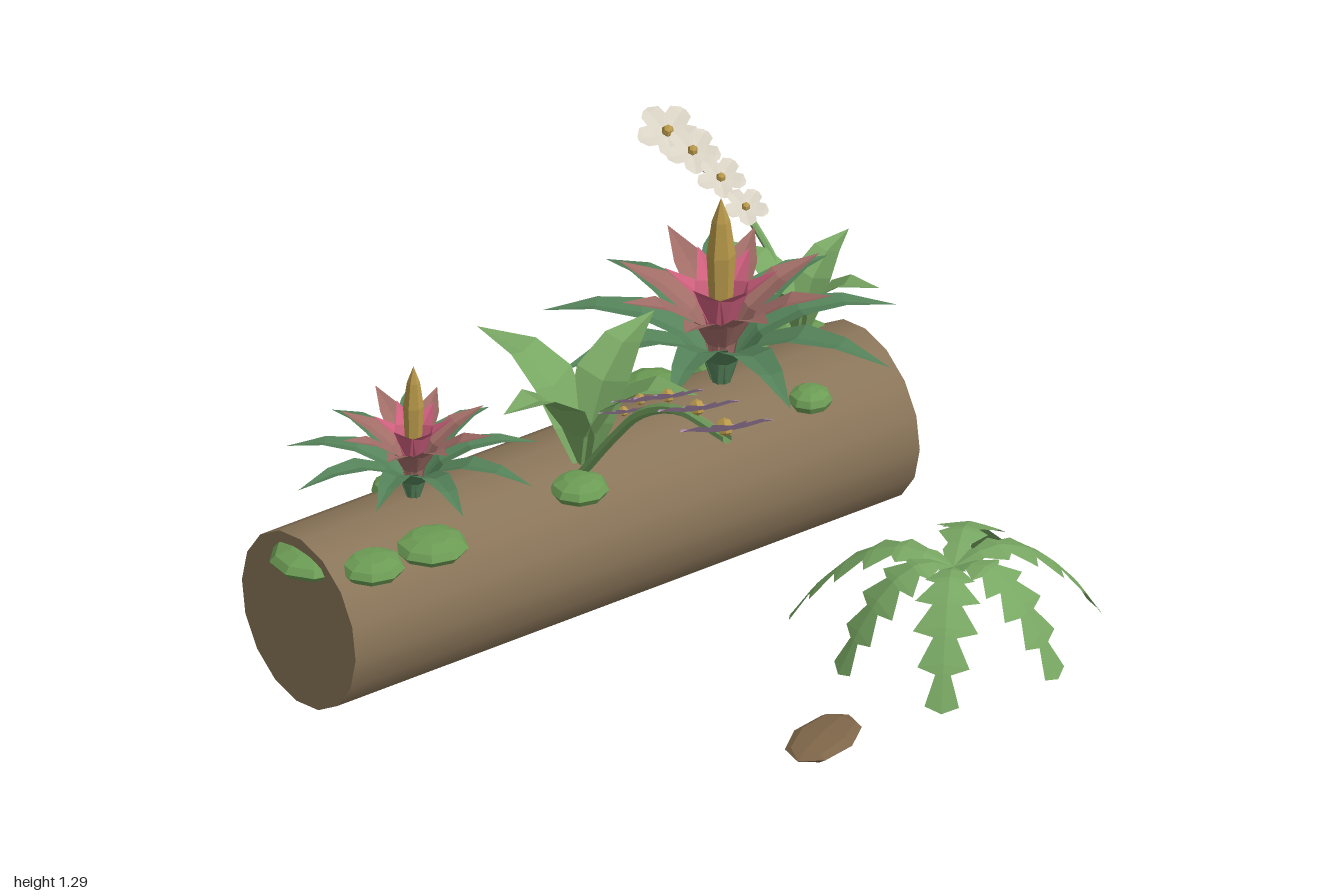
import * as THREE from 'three';
import { mergeGeometries } from 'three/addons/utils/BufferGeometryUtils.js';

const flat = (name, color) => new THREE.MeshStandardMaterial({ name, color, flatShading: true, side: THREE.DoubleSide });

// Folded leaf: centre line of [out, up] points, half width at each point, edges lifted by fold
function blade(path, widths, fold) {
  const pos = [], idx = [];
  path.forEach(([r, y], i) => {
    const w = widths[i];
    pos.push(r, y + fold * w, w, r, y, 0, r, y + fold * w, -w);
    if (i === 0) return;
    const b = i * 3, a = b - 3;
    for (const k of [0, 1]) idx.push(a + k, b + k, a + k + 1, b + k, b + k + 1, a + k + 1);
  });
  const g = new THREE.BufferGeometry();
  g.setAttribute('position', new THREE.Float32BufferAttribute(pos, 3));
  g.setIndex(idx);
  const out = g.toNonIndexed();
  out.computeVertexNormals();
  return out;
}

// Ring of blades; each entry is [angle in degrees, outward stretch]
const ring = (geo, list) => mergeGeometries(list.map(([deg, s]) =>
  geo.clone().scale(s, 1, 1).rotateY(THREE.MathUtils.degToRad(deg))));
const evenly = (n, start, vary) => Array.from({ length: n }, (_, i) =>
  [start + i * 360 / n, 1 + vary * Math.sin(i * 2.3 + 1)]);

export function createModel() {
  const root = new THREE.Group();
  const mat = {
    log: new THREE.MeshStandardMaterial({ name: 'log brown', color: 0x8a7559 }),
    bark: flat('bark brown', 0x7d6548),
    leaf: flat('leaf green', 0x78a763),
    dark: flat('deep green', 0x55835a),
    moss: flat('moss green', 0x6c9c55),
    rose: flat('dusty rose', 0xa06c66),
    pink: flat('bright pink', 0xcc5f7c),
    gold: flat('ochre', 0xb8984a),
    lilac: flat('lilac', 0xc49fc6),
    cream: flat('cream', 0xd8d2c4),
  };
  const add = (parent, name, geo, material, p = [0, 0, 0]) => {
    const m = new THREE.Mesh(geo, material);
    m.name = name;
    m.position.set(...p);
    parent.add(m);
    return m;
  };
  const group = (name, p, s = 1) => {
    const g = new THREE.Group();
    g.name = name;
    g.position.set(...p);
    g.scale.setScalar(s);
    root.add(g);
    return g;
  };

  // Lying log
  const front = new THREE.Vector3(-0.635, 0.4925, 0.89), back = new THREE.Vector3(0.135, 0.4925, -0.77);
  const axis = back.clone().sub(front);
  const log = add(root, 'log', new THREE.CylinderGeometry(0.245, 0.245, axis.length(), 16), mat.log,
    front.clone().add(back).multiplyScalar(0.5).toArray());
  log.rotation.set(Math.PI / 2, 0, Math.atan2(-axis.x, axis.z) + Math.PI, 'YXZ');
  log.quaternion.setFromUnitVectors(new THREE.Vector3(0, 1, 0), axis.clone().normalize());

  // Moss cushions: x, y, z, radius
  [[-0.61, 0.672, 0.86, 0.115], [-0.45, 0.68, 0.84, 0.09], [-0.36, 0.685, 0.68, 0.1], [-0.16, 0.688, 0.24, 0.08],
    [0.15, 0.69, -0.45, 0.06], [-0.13, 0.69, -0.53, 0.13], [-0.23, 0.695, -0.3, 0.09], [-0.03, 0.69, -0.72, 0.09],
    [-0.58, 0.69, 0.47, 0.06]].forEach(([x, y, z, r]) =>
    add(root, 'mossCushion', new THREE.SphereGeometry(1, 9, 6), mat.moss, [x, y, z]).scale.set(r, 0.035, r));

  // Bark chips around the log: x, z, half width, half depth, turn
  [[0.66, 0.43, 0.085, 0.14, 0], [-0.75, 0.64, 0.075, 0.1, 0.3], [-0.6, 0.52, 0.07, 0.12, 0.6],
    [-0.12, -0.88, 0.06, 0.085, 0], [-0.04, -0.7, 0.07, 0.11, 0.4]].forEach(([x, z, w, d, turn]) => {
    const chip = add(root, 'barkChip', new THREE.SphereGeometry(1, 8, 4).rotateX(Math.PI / 2), mat.bark, [x, 0.258, z]);
    chip.scale.set(w, 0.022, d);
    chip.rotation.y = turn;
  });

  // Rosette plants with three tiers of leaves and a pointed flower spike
  const outer = blade([[0.02, 0], [0.04, 0.07], [0.1, 0.14], [0.21, 0.19], [0.33, 0.2], [0.47, 0.175]],
    [0.018, 0.022, 0.05, 0.054, 0.034, 0], 0.25);
  const middle = blade([[0.02, 0.02], [0.035, 0.12], [0.08, 0.2], [0.17, 0.265], [0.29, 0.31]],
    [0.015, 0.025, 0.045, 0.045, 0], 0.25);
  const inner = blade([[0.02, 0.05], [0.03, 0.18], [0.065, 0.27], [0.14, 0.335]], [0.015, 0.03, 0.04, 0], 0.25);
  const spike = new THREE.LatheGeometry([[0.015, 0.04], [0.02, 0.18], [0.032, 0.26], [0.038, 0.38], [0.024, 0.48], [0, 0.548]]
    .map(p => new THREE.Vector2(...p)), 6);
  const rosette = (p, s) => {
    const g = group('rosettePlant', p, s);
    add(g, 'outerLeaves', ring(outer, evenly(9, 0, 0.07)), mat.dark);
    add(g, 'middleLeaves', ring(middle, evenly(8, 10, 0.06)), mat.rose);
    add(g, 'innerLeaves', ring(inner, evenly(6, 25, 0.06)), mat.pink);
    add(g, 'flowerSpike', spike, mat.gold);
  };
  rosette([-0.06, 0.732, -0.355], 1);
  rosette([-0.48, 0.732, 0.55], 0.71);

  // Spray plants: broad leaves, an arching stem and a row of five-petal flowers
  const broad = blade([[0.01, 0], [0.04, 0.1], [0.095, 0.2], [0.19, 0.27], [0.34, 0.295]],
    [0.03, 0.07, 0.08, 0.055, 0], 0.3);
  const petal = blade([[0, 0], [0.45, 0.04], [0.82, 0.1], [1, 0.1]], [0.06, 0.38, 0.36, 0.1], 0.18);
  const blossom = ring(petal, evenly(5, 20, 0));
  const sprayPlant = (name, p, s, stem, thick, color, normal, flowers) => {
    add(group(name, p, s), 'broadLeaves', ring(broad, [[0, 1], [85, 1], [172, 1], [260, 0.98]]), mat.leaf);
    const curve = new THREE.CatmullRomCurve3(stem.map(q => new THREE.Vector3(...q)));
    add(root, name + 'Stem', new THREE.TubeGeometry(curve, 16, thick, 6), mat.leaf);
    const tilt = new THREE.Quaternion().setFromUnitVectors(new THREE.Vector3(0, 1, 0),
      new THREE.Vector3(...normal).normalize());
    flowers.forEach(([x, y, z, r]) => {
      const f = group(name + 'Flower', [x, y, z]);
      f.quaternion.copy(tilt);
      add(f, 'petals', blossom, color).scale.setScalar(r);
      add(f, 'flowerCentre', new THREE.SphereGeometry(0.2 * r, 6, 4), mat.gold, [0, 0.1 * r, 0]);
    });
  };
  sprayPlant('lilacSpray', [-0.18, 0.725, 0.18], 1,
    [[-0.18, 0.7, 0.18], [-0.03, 0.9, 0.28], [0.1, 1.05, 0.375], [0.26, 1.155, 0.48], [0.485, 1.205, 0.63]], 0.014,
    mat.lilac, [-0.35, 0.85, -0.38],
    [[0.01, 0.99, 0.31, 0.07], [0.085, 1.07, 0.36, 0.08], [0.215, 1.16, 0.45, 0.095],
      [0.35, 1.205, 0.54, 0.11], [0.48, 1.225, 0.63, 0.125]]);
  sprayPlant('creamSpray', [0, 0.725, -0.67], 0.7,
    [[0, 0.71, -0.67], [-0.07, 0.86, -0.71], [-0.2, 0.975, -0.77], [-0.35, 1.03, -0.84], [-0.525, 1.045, -0.92]], 0.01,
    mat.cream, [0.33, 0.87, 0.3],
    [[-0.21, 1, -0.77, 0.06], [-0.31, 1.035, -0.82, 0.066], [-0.42, 1.06, -0.87, 0.074], [-0.52, 1.065, -0.92, 0.085]]);

  // Fern with drooping, saw-edged fronds
  const arc = new THREE.CatmullRomCurve3([[0, 0.25], [0.11, 0.285], [0.22, 0.25], [0.33, 0.15], [0.42, 0.015]]
    .map(([x, y]) => new THREE.Vector3(x, y, 0)));
  const path = [], widths = [], teeth = 6;
  for (let i = 0; i < teeth; i++) {
    const w = [0.04, 0.065, 0.085, 0.085, 0.068, 0.045][i];
    for (const [dt, k] of [[0, 0.45], [0.75, 1]]) {
      const q = arc.getPoint((i + dt) / teeth);
      path.push([q.x, q.y]);
      widths.push(w * k);
    }
  }
  path.push([0.42, 0.015]);
  widths.push(0);
  add(root, 'fernFronds', ring(blade(path, widths, -0.2),
    [[108, 1.1], [54, 1], [-5, 0.77], [-67, 0.86], [-125, 0.8], [188, 1.08]]), mat.leaf, [0.53, 0, -0.53]);

  return root;
}
